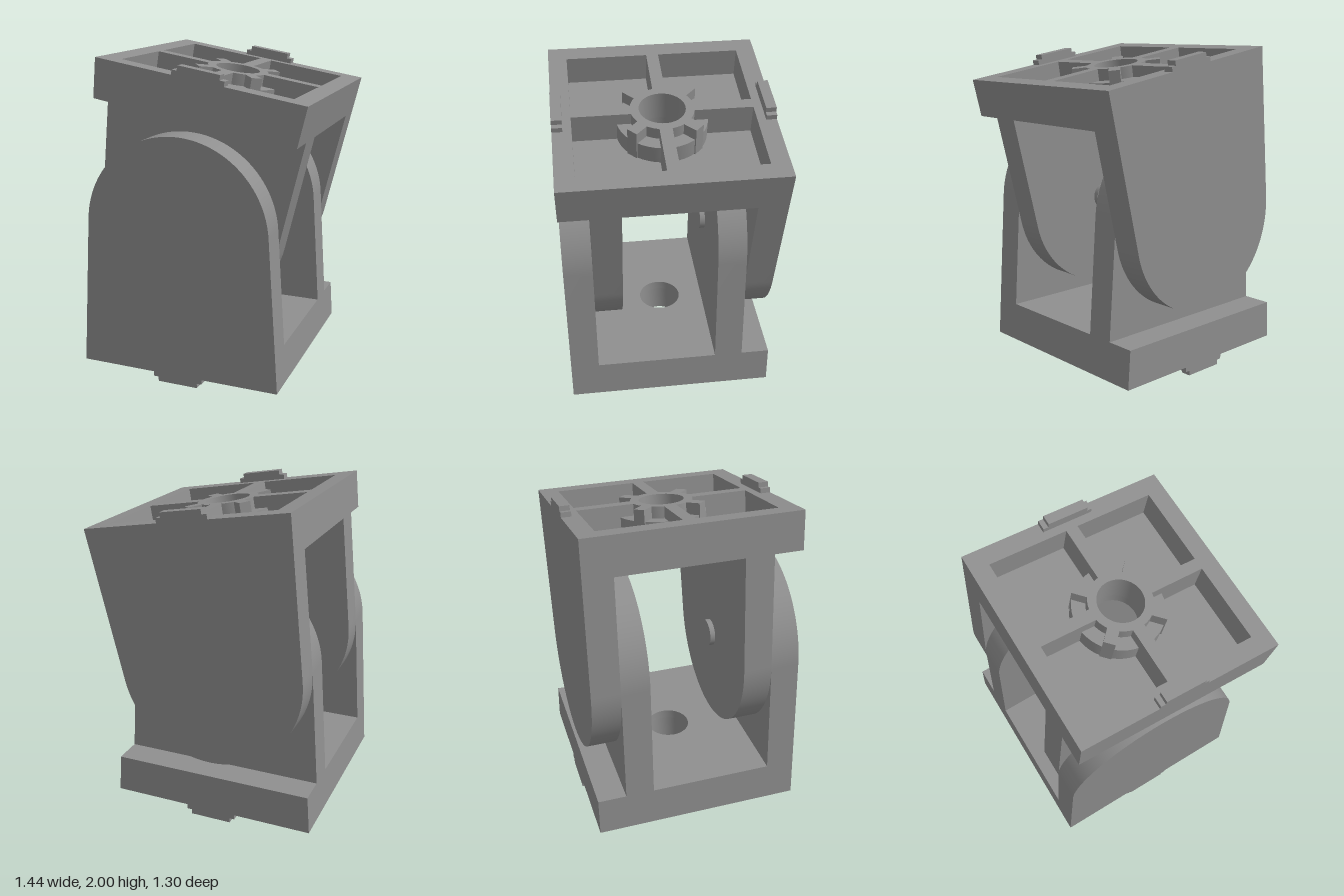
import * as THREE from 'three';
import { toCreasedNormals } from 'three/addons/utils/BufferGeometryUtils.js';

const mat = new THREE.MeshStandardMaterial({ color: 0x8f8f8f });

// Fork dimensions, measured from the hinge axis
const R = 0.583, TILT = 0.069;            // rounded arm end and side taper
const BOTTOM = -0.923, FLOOR = -0.743, SLAB_TOP = -0.683;
const HALF_Z = 0.648, HOLE = 0.138, HUB = 0.19, RIB = 0.0375, POCKET = 0.535;
const halfWidth = y => (R - y * Math.sin(TILT)) / Math.cos(TILT);

function add(group, name, geometry) {
  const mesh = new THREE.Mesh(toCreasedNormals(geometry, 0.5), mat);
  mesh.name = name;
  group.add(mesh);
  return mesh;
}

function box(group, name, w, h, d, x, y, z) {
  const mesh = add(group, name, new THREE.BoxGeometry(w, h, d));
  mesh.position.set(x, y, z);
  return mesh;
}

// Extrude a plan shape upwards from y0 to y1
function extrudeUp(shape, y0, y1) {
  return new THREE.ExtrudeGeometry(shape, { depth: y1 - y0, bevelEnabled: false, curveSegments: 24 })
    .rotateX(-Math.PI / 2).translate(0, y0, 0);
}

// Follow the taper of the arms on the outer x sides
function taper(geometry) {
  const p = geometry.attributes.position;
  for (let i = 0; i < p.count; i++) {
    const x = p.getX(i);
    if (Math.abs(x) > 0.6) p.setX(i, Math.sign(x) * halfWidth(p.getY(i)));
  }
  return geometry;
}

function circlePath(r) {
  return new THREE.Path().absarc(0, 0, r, 0, Math.PI * 2, true);
}

function plate() {
  const s = new THREE.Shape();
  s.moveTo(-0.64, -HALF_Z).lineTo(0.64, -HALF_Z).lineTo(0.64, HALF_Z).lineTo(-0.64, HALF_Z).closePath();
  s.holes.push(circlePath(HOLE));
  return s;
}

// Square pocket whose inner corner is rounded around the hub
function pocket(sx, sy) {
  const a = Math.sqrt(HUB * HUB - RIB * RIB), t0 = Math.atan2(a, RIB), t1 = Math.atan2(RIB, a);
  const pts = [[a, RIB], [POCKET, RIB], [POCKET, POCKET], [RIB, POCKET]];
  for (let i = 0; i < 12; i++) {
    const t = t0 + (t1 - t0) * i / 12;
    pts.push([HUB * Math.cos(t), HUB * Math.sin(t)]);
  }
  return new THREE.Path(pts.map(([x, y]) => new THREE.Vector2(x * sx, y * sy)));
}

function armGeometry(z0, z1) {
  const s = new THREE.Shape();
  const w = halfWidth(SLAB_TOP);
  s.moveTo(-w, SLAB_TOP).lineTo(w, SLAB_TOP);
  s.absarc(0, 0, R, TILT, Math.PI - TILT, false);
  s.closePath();
  return new THREE.ExtrudeGeometry(s, { depth: z1 - z0, bevelEnabled: false, curveSegments: 48 })
    .translate(0, 0, z0);
}

function createFork(name) {
  const fork = new THREE.Group();
  fork.name = name;

  // Slab: solid floor plus ribbed frame with four pockets
  add(fork, 'slabFloor', taper(extrudeUp(plate(), FLOOR, SLAB_TOP)));
  const frame = plate();
  for (const sx of [-1, 1]) for (const sy of [-1, 1]) frame.holes.push(pocket(sx, sy));
  add(fork, 'slabFrame', taper(extrudeUp(frame, BOTTOM, FLOOR)));

  // Low collar around the hub, crossed by four full-height teeth
  const collar = new THREE.Shape().absarc(0, 0, 0.272, 0, Math.PI * 2, false);
  collar.holes.push(circlePath(HUB - 0.005));
  add(fork, 'collar', extrudeUp(collar, FLOOR - 0.108, FLOOR));
  for (let i = 0; i < 4; i++) {
    const a = Math.PI / 4 + i * Math.PI / 2;
    const tooth = box(fork, 'hubTooth', 0.09, FLOOR - BOTTOM, 0.07,
      0.232 * Math.cos(a), (FLOOR + BOTTOM) / 2, -0.232 * Math.sin(a));
    tooth.rotation.y = a;
  }

  // Stepped tabs on the front and back edges
  for (const side of [-1, 1]) {
    box(fork, 'tab', 0.26, 0.06, 0.062, 0, BOTTOM - 0.03, side * (HALF_Z - 0.031));
    box(fork, 'tabStep', 0.322, 0.03, 0.062, 0, BOTTOM - 0.015, side * (HALF_Z - 0.031));
  }

  // One outer and one inner arm, so two forks interlock
  add(fork, 'outerArm', armGeometry(0.47, HALF_Z));
  add(fork, 'innerArm', armGeometry(-0.47, -0.293));
  const pin = new THREE.CylinderGeometry(0.086, 0.086, 0.05, 40).rotateX(Math.PI / 2);
  add(fork, 'hingePin', pin).position.z = -0.285;
  return fork;
}

export function createModel() {
  const model = new THREE.Group();
  model.name = 'hingedBracket';
  const lower = createFork('lowerFork');
  const upper = createFork('upperFork');
  // The upper fork is turned over and swung about the hinge
  upper.rotation.set(Math.PI, 0, -0.165, 'ZYX');
  for (const fork of [lower, upper]) {
    fork.position.set(-0.073, 0.983, 0);
    model.add(fork);
  }
  return model;
}
